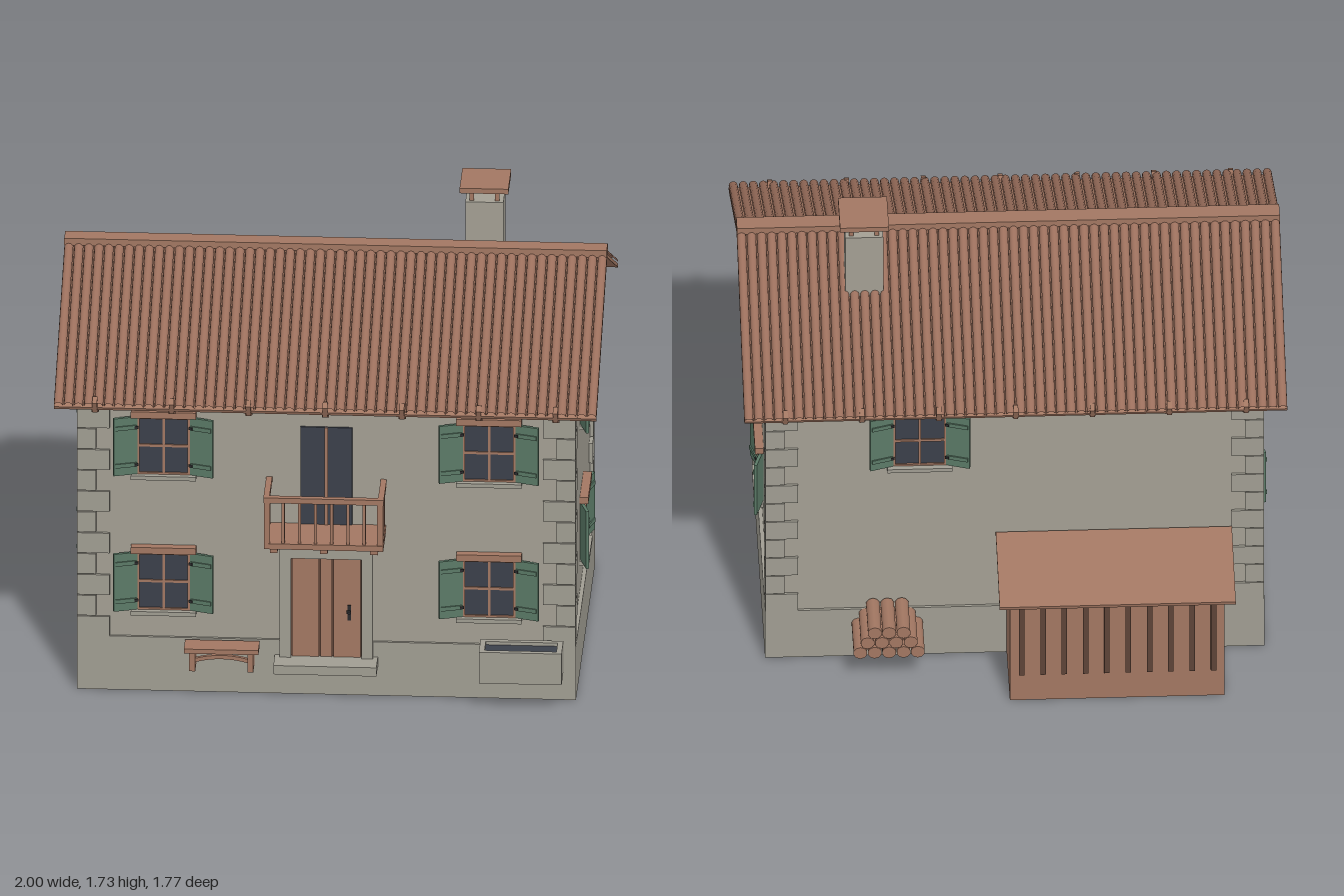
import * as THREE from 'three';

const mat = (name, hex, double) => {
  const m = new THREE.MeshStandardMaterial({ color: hex });
  m.name = name;
  if (double) m.side = THREE.DoubleSide;
  return m;
};

export function createModel() {
  const plaster = mat('plaster', 0xa39f93);
  const stone = mat('stone', 0xa09d92);
  const wood = mat('wood', 0xa27762);
  const tile = mat('roof tile', 0x9c705d, true);
  const darkWood = mat('dark wood', 0x5d4337);
  const green = mat('shutter green', 0x5b7a67);
  const glass = mat('dark glass', 0x3b404a);
  const iron = mat('iron', 0x2a2a2c);

  const house = new THREE.Group();
  house.name = 'house';

  const group = (name, parent = house) => {
    const g = new THREE.Group();
    g.name = name;
    parent.add(g);
    return g;
  };
  const add = (name, geo, m, parent = house) => {
    const mesh = new THREE.Mesh(geo, m);
    mesh.name = name;
    parent.add(mesh);
    return mesh;
  };
  // box given by its extents on each axis
  const box = (name, m, [x0, x1], [y0, y1], [z0, z1], parent = house) => {
    const mesh = add(name, new THREE.BoxGeometry(x1 - x0, y1 - y0, z1 - z0), m, parent);
    mesh.position.set((x0 + x1) / 2, (y0 + y1) / 2, (z0 + z1) / 2);
    return mesh;
  };
  const around = (c, w) => [c - w / 2, c + w / 2];

  // plinth and gabled walls
  const ridgeZ = 0.077, ridgeY = 1.507, pitch = 0.46, front = 0.69, back = -0.525;
  box('plinth', stone, [-0.92, 0.92], [0, 0.215], [-0.535, 0.7]);
  const gable = new THREE.Shape([[back, 0.2], [front, 0.2], [front, 1.2], [ridgeZ, ridgeY], [back, 1.2]]
    .map(p => new THREE.Vector2(...p)));
  const wallGeo = new THREE.ExtrudeGeometry(gable, { depth: 1.81, bevelEnabled: false });
  wallGeo.rotateY(-Math.PI / 2).translate(0.905, 0, 0);
  add('walls', wallGeo, plaster);

  // corner stones, alternating long and short
  const quoins = group('cornerStones');
  for (const sx of [-1, 1]) for (const sz of [-1, 1]) for (let i = 0; i < 11; i++) {
    const wx = i % 2 ? 0.07 : 0.12, wz = i % 2 ? 0.125 : 0.07;
    const zOut = sz > 0 ? 0.7 : -0.535, y = 0.212 + i * 0.0838;
    box('cornerStone', stone, around(sx * (0.919 - wx / 2), wx), [y, y + 0.08], around(zOut - sz * wz / 2, wz), quoins);
  }

  // roof: two mirrored slopes, local z runs down the slope
  const slopeLen = 0.785, rows = 54;
  const tileGeo = new THREE.CylinderGeometry(0.0165, 0.0165, slopeLen, 6, 1, true, Math.PI / 2, Math.PI);
  tileGeo.rotateX(Math.PI / 2);
  for (const turn of [0, Math.PI]) {
    const slope = group(turn ? 'backRoof' : 'frontRoof');
    slope.position.set(0, ridgeY, ridgeZ);
    slope.rotation.set(pitch, turn, 0, 'YXZ');
    box('roofBoards', wood, [-1, 1], [0, 0.013], [0, slopeLen], slope);
    for (let i = 0; i < rows; i++) {
      const t = add('tileRow', tileGeo, tile, slope);
      t.position.set((i - (rows - 1) / 2) * (1.967 / (rows - 1)), 0.02, slopeLen / 2);
    }
    for (let i = -3; i <= 3; i++) {
      box('rafter', wood, around(i * 0.283, 0.026), [-0.025, 0], [0.62, 0.775], slope);
      box('rafterTail', wood, around(i * 0.283, 0.018), [-0.012, 0.04], [0.755, 0.787], slope);
    }
  }
  box('ridgeCap', wood, [-1, 1], [1.522, 1.55], [0.043, 0.111]);

  // chimney
  const chimney = group('chimney');
  box('stack', plaster, [0.47, 0.61], [1.3, 1.665], [-0.18, -0.045], chimney);
  for (const x of [0.493, 0.587]) for (const z of [-0.16, -0.065])
    box('capPost', wood, around(x, 0.016), [1.665, 1.712], around(z, 0.016), chimney);
  box('cap', wood, [0.45, 0.63], [1.71, 1.73], [-0.205, -0.02], chimney);

  // shuttered window, built facing +z around its centre
  const makeWindow = (x, y, z, ry) => {
    const w = group('window');
    w.position.set(x, y, z);
    w.rotation.y = ry;
    box('pane', glass, [-0.096, 0.096], [-0.115, 0.115], [-0.01, 0.006], w);
    for (const s of [-1, 1]) {
      box('frameSide', wood, around(s * 0.093, 0.008), [-0.115, 0.115], [0, 0.013], w);
      box('frameRail', wood, [-0.096, 0.096], around(s * 0.111, 0.008), [0, 0.013], w);
      const shutter = group('shutter', w);
      shutter.position.set(s * 0.096, 0, 0.006);
      shutter.rotation.y = -s * 0.3;
      box('panel', green, around(s * 0.046, 0.092), [-0.115, 0.115], [-0.006, 0.006], shutter);
      for (const t of [-0.075, 0.075]) {
        box('batten', green, around(s * 0.046, 0.08), around(t, 0.016), [0.006, 0.011], shutter);
        box('hinge', iron, around(s * 0.008, 0.014), around(t, 0.01), [0.01, 0.014], shutter);
      }
    }
    box('mullion', wood, [-0.005, 0.005], [-0.115, 0.115], [0, 0.011], w);
    box('transom', wood, [-0.096, 0.096], [-0.005, 0.005], [0, 0.011], w);
    box('lintel', wood, [-0.12, 0.12], [0.117, 0.143], [0, 0.032], w);
    box('sill', stone, [-0.12, 0.12], [-0.13, -0.114], [0, 0.034], w);
  };
  for (const y of [0.985, 0.44]) for (const s of [-1, 1]) {
    makeWindow(s * 0.6, y, front, 0);
    makeWindow(s * 0.905, y + 0.01, ridgeZ, s * Math.PI / 2);
  }
  makeWindow(0.35, 0.99, back, Math.PI);

  // front door with stone surround and step
  const door = group('frontDoor');
  for (const s of [-1, 1]) box('jamb', stone, around(s * 0.151, 0.042), [0.15, 0.6], [0.68, 0.722], door);
  box('doorLintel', stone, [-0.13, 0.13], [0.553, 0.6], [0.68, 0.722], door);
  box('doorBack', darkWood, [-0.13, 0.13], [0.15, 0.553], [0.68, 0.701], door);
  for (const [x, w] of [[-0.077, 0.1], [0, 0.042], [0.077, 0.1]])
    box('doorPlank', wood, around(x, w), [0.153, 0.551], [0.7, 0.708], door);
  box('handlePlate', iron, around(0.085, 0.012), [0.305, 0.365], [0.706, 0.713], door);
  box('handle', iron, [0.075, 0.09], [0.335, 0.345], [0.713, 0.725], door);
  box('step', stone, [-0.19, 0.19], [0.12, 0.155], [0.69, 0.8], door);

  // balcony door
  const upperDoor = group('balconyDoor');
  box('doorGlass', glass, [-0.095, 0.095], [0.66, 1.072], [0.68, 0.697], upperDoor);
  box('doorMullion', wood, [-0.006, 0.006], [0.66, 1.072], [0.69, 0.703], upperDoor);

  // balcony
  const balcony = group('balcony');
  box('floor', wood, [-0.22, 0.22], [0.66, 0.682], [0.69, 0.885], balcony);
  for (const x of [-0.185, 0, 0.185]) {
    box('bracket', wood, around(x, 0.028), [0.637, 0.66], [0.69, 0.865], balcony);
  }
  box('frontRail', wood, [-0.222, 0.222], [0.845, 0.866], [0.862, 0.885], balcony);
  for (let i = 0; i < 8; i++) {
    const x = -0.209 + i * 0.0597, w = i % 7 ? 0.011 : 0.022;
    box('baluster', wood, around(x, w), [0.682, 0.846], around(0.873, w), balcony);
  }
  for (const s of [-1, 1]) {
    box('sideRail', wood, around(s * 0.211, 0.022), [0.845, 0.866], [0.69, 0.865], balcony);
    for (const z of [0.7, 0.747, 0.785, 0.83])
      box('sideBaluster', wood, around(s * 0.211, 0.011), [0.682, 0.846], around(z, 0.011), balcony);
  }

  // bench with arched apron
  const bench = group('bench');
  box('seat', wood, [-0.52, -0.245], [0.195, 0.213], [0.712, 0.8], bench);
  for (const s of [-1, 1])
    box('leg', wood, around(-0.3825 + s * 0.107, 0.022), [0.12, 0.195], [0.722, 0.79], bench);
  const brace = new THREE.Shape();
  brace.moveTo(-0.1, 0.145).lineTo(-0.1, 0.16).quadraticCurveTo(0, 0.19, 0.1, 0.16)
    .lineTo(0.1, 0.145).quadraticCurveTo(0, 0.175, -0.1, 0.145);
  const braceGeo = new THREE.ExtrudeGeometry(brace, { depth: 0.014, bevelEnabled: false, curveSegments: 8 });
  add('brace', braceGeo, wood, bench).position.set(-0.3825, 0, 0.75);

  // water trough
  const trough = group('trough');
  box('troughFloor', stone, [0.57, 0.875], [0.12, 0.215], [0.72, 0.84], trough);
  for (const z of [0.73, 0.83]) box('troughLongWall', stone, [0.57, 0.875], [0.215, 0.245], around(z, 0.02), trough);
  for (const x of [0.58, 0.865]) box('troughEnd', stone, around(x, 0.02), [0.215, 0.245], [0.74, 0.82], trough);
  box('water', glass, [0.59, 0.855], [0.215, 0.232], [0.74, 0.82], trough);

  // lean-to shed with sloping roof
  const shed = group('shed');
  const profile = new THREE.Shape([[-0.53, 0], [-0.53, 0.535], [-0.828, 0.468], [-0.828, 0]]
    .map(p => new THREE.Vector2(...p)));
  const shedGeo = new THREE.ExtrudeGeometry(profile, { depth: 0.79, bevelEnabled: false });
  shedGeo.rotateY(-Math.PI / 2).translate(0.03, 0, 0);
  add('shedBody', shedGeo, wood, shed);
  for (let i = 0; i < 10; i++)
    box('shedSlat', darkWood, around(-0.72 + i * 0.0785, 0.02), [0.12, 0.462], [-0.836, -0.826], shed);
  const shedRoof = add('shedRoof', new THREE.BoxGeometry(0.87, 0.014, 0.363), wood, shed);
  shedRoof.position.set(-0.365, 0.508, -0.708);
  shedRoof.rotation.x = -0.221;

  // stacked firewood
  const pile = group('woodpile');
  const logGeo = new THREE.CylinderGeometry(0.026, 0.026, 0.18, 10).rotateX(Math.PI / 2);
  for (let row = 0; row < 3; row++) for (let i = 0; i < 5 - row; i++)
    add('log', logGeo, wood, pile).position.set(0.47 + (i - (4 - row) / 2) * 0.053, 0.148 + row * 0.045, -0.625);

  return house;
}
